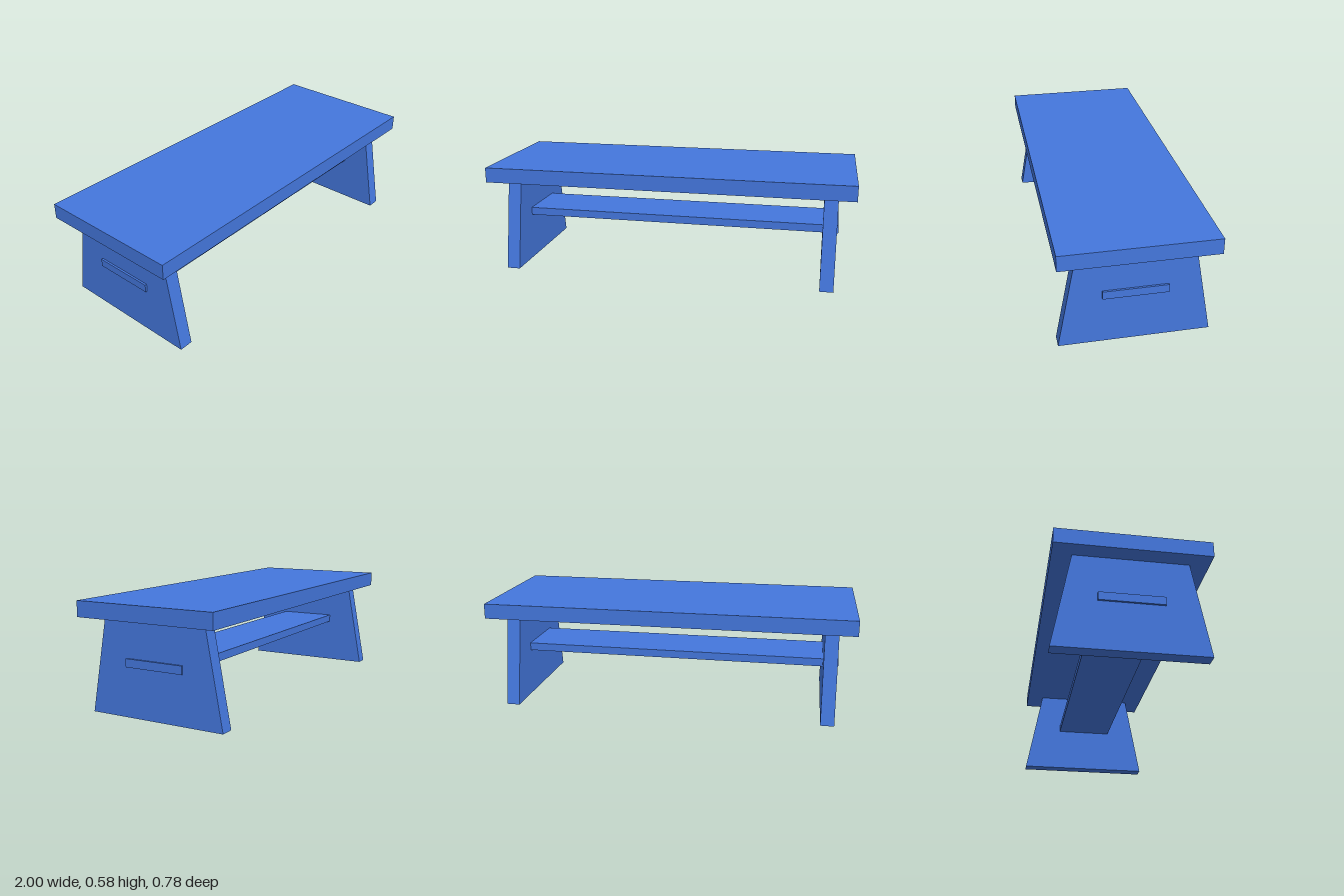
import * as THREE from 'three';

export function createModel() {
  const group = new THREE.Group();
  group.name = 'bench';
  const material = new THREE.MeshStandardMaterial({ color: 0x4477dd });

  function add(name, geometry, x, y, z) {
    const mesh = new THREE.Mesh(geometry, material);
    mesh.name = name;
    mesh.position.set(x, y, z);
    group.add(mesh);
  }

  // Thick plank top
  const legHeight = 0.498, topThickness = 0.082;
  add('top', new THREE.BoxGeometry(2, topThickness, 0.78), 0, legHeight + topThickness / 2, 0);

  // Tapered board legs: trapezoid outline extruded along x
  const legThickness = 0.073;
  const outline = new THREE.Shape([
    new THREE.Vector2(-0.383, 0),
    new THREE.Vector2(0.383, 0),
    new THREE.Vector2(0.291, legHeight),
    new THREE.Vector2(-0.291, legHeight),
  ]);
  const legGeometry = new THREE.ExtrudeGeometry(outline, { depth: legThickness, bevelEnabled: false });
  legGeometry.translate(0, 0, -legThickness / 2).rotateY(Math.PI / 2);
  for (const side of [-1, 1]) {
    add(side > 0 ? 'leftLeg' : 'rightLeg', legGeometry, side * 0.873, 0, 0);
  }

  // Stretcher board passing through both legs
  add('stretcher', new THREE.BoxGeometry(1.84, 0.043, 0.328), 0, 0.278, 0);

  return group;
}
